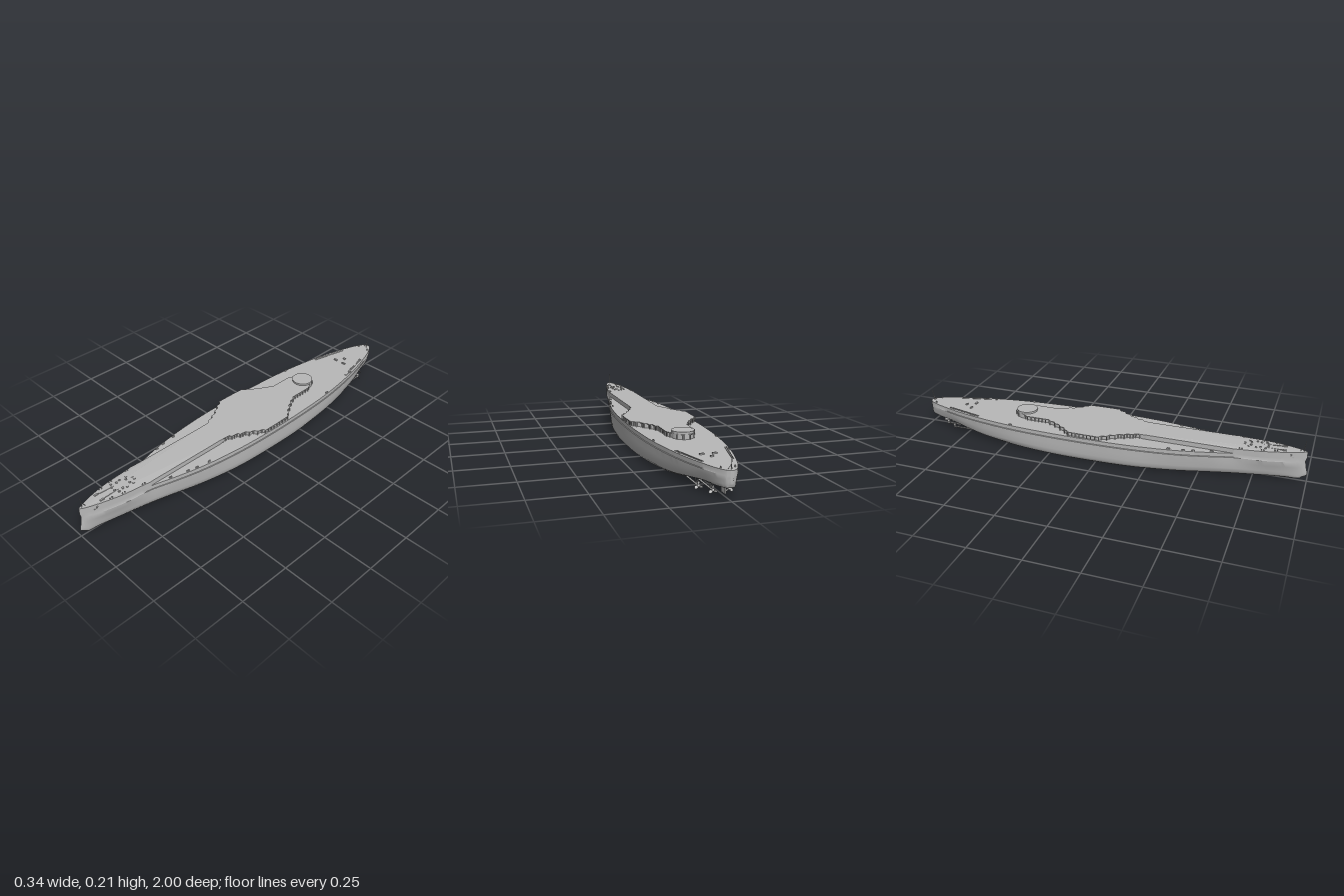
import * as THREE from 'three';
import { toCreasedNormals } from 'three/addons/utils/BufferGeometryUtils.js';

const grey = new THREE.MeshStandardMaterial({ color: 0xb8b8b8, side: THREE.DoubleSide });
grey.name = 'ship grey';

// Hull stations: z, deck half-breadth, waterline half-breadth, flat-bottom half-breadth, keel height
const STATIONS = [
  [-1, 0.006, 0.005, 0.004, 0.075], [-0.99, 0.021, 0.018, 0.012, 0.056],
  [-0.95, 0.045, 0.038, 0.02, 0.048], [-0.85, 0.08, 0.07, 0.03, 0.044],
  [-0.75, 0.108, 0.1, 0.035, 0.033], [-0.62, 0.134, 0.128, 0.06, 0.01],
  [-0.45, 0.157, 0.155, 0.11, 0.004], [-0.25, 0.169, 0.169, 0.145, 0.003],
  [0, 0.171, 0.17, 0.15, 0.003], [0.2, 0.162, 0.161, 0.138, 0.003],
  [0.4, 0.137, 0.131, 0.1, 0.003], [0.55, 0.103, 0.096, 0.06, 0.004],
  [0.66, 0.074, 0.07, 0.035, 0.005], [0.8, 0.058, 0.042, 0.015, 0.008],
  [0.9, 0.036, 0.022, 0.008, 0.012], [0.97, 0.012, 0.009, 0.005, 0.018],
  [0.99, 0.0008, 0.0008, 0.0006, 0.026],
];
const DECK = 0.127, UPPER = 0.15;

// Half cross-section from keel to deck edge
function section([z, b, mid, bot, k]) {
  const my = Math.max(0.045, k + 0.02);
  const p = [[0, k], [bot, k], [bot + (mid - bot) * 0.62, k + (my - k) * 0.22],
    [bot + (mid - bot) * 0.9, k + (my - k) * 0.55], [mid, my], [(mid + b) / 2, (my + 0.105) / 2],
    [b, 0.105], [b * 0.98, 0.107], [b * 0.98, DECK]];
  const stem = [-0.03, -0.02, 0, 0.009, 0.009, 0.0, -0.005, -0.005, 0];   // raked ram bow
  return p.map(([x, y], j) => new THREE.Vector3(x, y, z + (z > 0.98 ? stem[j] : 0)));
}
const sections = STATIONS.map(section);
const lines = sections[0].map((_, j) => new THREE.CatmullRomCurve3(sections.map(s => s[j]), false, 'centripetal'));
const LAST = STATIONS.length - 1;

function hullGeometry() {
  const steps = LAST * 6, pos = [], idx = [], n = lines.length * 2 - 1;
  for (let i = 0; i <= steps; i++) {
    const half = lines.map(c => c.getPoint(i / steps));
    const ring = [...half, ...half.slice(1).reverse().map(v => new THREE.Vector3(-v.x, v.y, v.z))];
    ring.forEach(v => pos.push(v.x, v.y, v.z));
  }
  for (let i = 0; i < steps; i++) for (let j = 0; j < n; j++) {
    const a = i * n + j, b = i * n + (j + 1) % n;
    idx.push(a, b, b + n, a, b + n, a + n);
  }
  // end caps
  for (let j = 1; j < n - 1; j++) {
    idx.push(0, j + 1, j, steps * n, steps * n + j, steps * n + j + 1);
  }
  const g = new THREE.BufferGeometry();
  g.setAttribute('position', new THREE.Float32BufferAttribute(pos, 3));
  g.setIndex(idx);
  return toCreasedNormals(g, 0.6);
}

// Half outline of the upper deck, aft tip to bow, with stepped waist
const waist = [[0.02, -0.485], [0.042, -0.465], [0.052, -0.435], [0.07, -0.4], [0.07, -0.28], [0.082, -0.27],
  [0.085, -0.245], [0.1, -0.235], [0.104, -0.21], [0.122, -0.2], [0.128, -0.175], [0.146, -0.165],
  [0.152, -0.15], [0.166, -0.14], [0.168, -0.06], [0.168, 0.02], [0.152, 0.03], [0.148, 0.055], [0.13, 0.065],
  [0.125, 0.09], [0.108, 0.1], [0.104, 0.13], [0.09, 0.14], [0.087, 0.17], [0.074, 0.18],
  [0.071, 0.235], [0.071, 0.64]];
const outline = waist.slice();
for (let i = 0; i <= 24; i++) {
  const v = lines[lines.length - 1].getPoint((12 + (LAST - 12) * i / 24) / LAST);
  outline.push([v.x, v.z]);
}

// Flat plate from a mirrored half outline; the bow end is lifted by the sheer
const sheer = z => 0.008 * THREE.MathUtils.smoothstep(z, 0.6, 1);
function deckPlate(half, y0, y1) {
  const pts = [...half, ...half.slice().reverse().map(([x, z]) => [-x, z])];
  const g = new THREE.ExtrudeGeometry(new THREE.Shape(pts.map(([x, z]) => new THREE.Vector2(x, -z))),
    { depth: y1 - y0, bevelEnabled: false });
  g.rotateX(-Math.PI / 2).translate(0, y0, 0);
  const p = g.attributes.position;
  for (let i = 0; i < p.count; i++) if (p.getY(i) > y0 + 0.001 || y0 > 0.14) p.setY(i, p.getY(i) + sheer(p.getZ(i)));
  g.computeVertexNormals();
  return g;
}

export function createModel() {
  const ship = new THREE.Group();
  ship.name = 'warshipHull';
  const add = (name, geo, x = 0, y = 0, z = 0, parent = ship) => {
    const m = new THREE.Mesh(geo, grey);
    m.name = name;
    m.position.set(x, y, z);
    parent.add(m);
    return m;
  };
  const box = (name, w, h, d, x, y, z) => add(name, new THREE.BoxGeometry(w, h, d), x, y, z);
  const cyl = (name, r, h, x, y, z, n = 12) => add(name, new THREE.CylinderGeometry(r, r, h, n), x, y, z);
  const rod = (name, a, b, r) => add(name, new THREE.TubeGeometry(
    new THREE.LineCurve3(new THREE.Vector3(...a), new THREE.Vector3(...b)), 1, r, 6));

  add('hull', hullGeometry());

  // Upper deck: overhanging plate on a recessed wall
  add('upperDeck', deckPlate(outline, 0.1465, UPPER));
  add('deckHouseWall', deckPlate(outline.map(([x, z]) => [z < 0.23 ? x - 0.009 : x, z]), 0.122, 0.147));

  // Gallery posts along the stepped edge
  for (let i = 0; i < 25; i++) {
    const [x0, z0] = waist[i], [x1, z1] = waist[i + 1];
    const n = Math.max(1, Math.round(Math.hypot(x1 - x0, z1 - z0) / 0.02));
    for (let k = 0; k < n; k++) for (const s of [-1, 1]) {
      const t = k / n;
      box('galleryPost', 0.004, 0.022, 0.004, s * (x0 + (x1 - x0) * t - 0.003), 0.137, z0 + (z1 - z0) * t);
    }
  }

  // Aft gun ring
  cyl('aftGunRing', 0.051, 0.034, 0, 0.143, -0.43, 40);
  add('aftGunRingLip', new THREE.CylinderGeometry(0.053, 0.053, 0.003, 40), 0, 0.1595, -0.43);

  for (const s of [-1, 1]) {
    // Forecastle fittings: capstans, chains, bollards, vents, anchors
    for (const [x, z] of [[0.014, 0.73], [0.024, 0.775], [0.012, 0.81]]) {
      cyl('capstan', 0.005, 0.008, s * x, UPPER + 0.004 + sheer(z), z);
    }
    rod('anchorChain', [s * 0.012, 0.154, 0.76], [s * 0.02, 0.158, 0.88], 0.0015);
    box('chainPipe', 0.008, 0.006, 0.02, s * 0.021, 0.158, 0.885);
    box('anchorShank', 0.004, 0.018, 0.006, s * 0.03, 0.139, 0.918).rotation.z = -s * 0.4;
    box('anchorFlukes', 0.005, 0.006, 0.02, s * 0.026, 0.131, 0.922);
    for (const [x, z] of [[0.028, 0.72], [0.03, 0.755], [0.03, 0.8], [0.008, 0.7]]) {
      box('deckVent', 0.007, 0.007, 0.009, s * x, UPPER + 0.003 + sheer(z), z);
    }
    for (const [x, z] of [[0.062, 0.69], [0.05, 0.79], [0.04, 0.85]]) {
      for (const d of [-0.006, 0.006]) cyl('bollard', 0.0025, 0.007, s * x, UPPER + 0.003 + sheer(z), z + d, 8);
    }
    // Main-deck edge lockers
    for (const [x, z] of [[0.148, -0.46], [0.13, 0.36], [0.122, 0.43], [0.112, 0.475], [0.09, 0.56], [0.108, -0.7]]) {
      box('deckLocker', 0.005, 0.007, 0.014, s * x, DECK + 0.003, z);
    }
    // Quarterdeck rails and hatches
    rod('quarterdeckRail', [s * 0.115, DECK + 0.002, -0.66], [s * 0.068, DECK + 0.002, -0.85], 0.0018);
    rod('innerRail', [s * 0.107, DECK + 0.002, -0.66], [s * 0.062, DECK + 0.002, -0.85], 0.0014);
    box('sternHatch', 0.02, 0.006, 0.009, s * 0.028, DECK + 0.003, -0.745);
    cyl('sternBollard', 0.003, 0.008, s * 0.03, DECK + 0.004, -0.955, 8);

    // Shafts, brackets and propellers
    for (const [x, y, z0, z1] of [[0.034, 0.02, -0.64, -0.89], [0.072, 0.024, -0.64, -0.83]]) {
      rod('propellerShaft', [s * x, y, z0], [s * x, y, z1], 0.004);
      rod('shaftBracket', [s * x, y, z1 + 0.025], [s * (x - 0.012), 0.055, z1 + 0.025], 0.002);
      rod('shaftBracket', [s * x, y, z1 + 0.025], [s * (x + 0.006), 0.055, z1 + 0.025], 0.002);
      const prop = new THREE.Group();
      prop.name = 'propeller';
      prop.position.set(s * x, y, z1);
      ship.add(prop);
      add('hub', new THREE.SphereGeometry(0.006, 10, 8), 0, 0, 0, prop);
      for (let k = 0; k < 3; k++) {
        const arm = new THREE.Group();
        arm.name = 'bladeArm';
        arm.rotation.z = k * Math.PI * 2 / 3;
        prop.add(arm);
        const blade = add('blade', new THREE.SphereGeometry(0.009, 10, 8), 0, 0.011, 0, arm);
        blade.scale.set(0.8, 1, 0.12);
        blade.rotation.y = s * 0.5;
      }
    }
  }
  box('sternHatch', 0.014, 0.006, 0.009, 0, DECK + 0.003, -0.787);
  box('rudder', 0.006, 0.04, 0.035, 0, 0.034, -0.915);

  // Bow and stern flagstaffs
  rod('bowFlagstaff', [0, 0.155, 0.973], [0, 0.212, 0.977], 0.0016);
  rod('bowStay', [0, 0.155, 0.955], [0, 0.185, 0.975], 0.001);
  rod('sternFlagstaff', [0, DECK, -0.985], [0, 0.182, -0.994], 0.0016);
  for (const s of [-1, 1]) rod('sternStay', [s * 0.008, DECK, -0.975], [0, 0.15, -0.989], 0.001);
  return ship;
}
